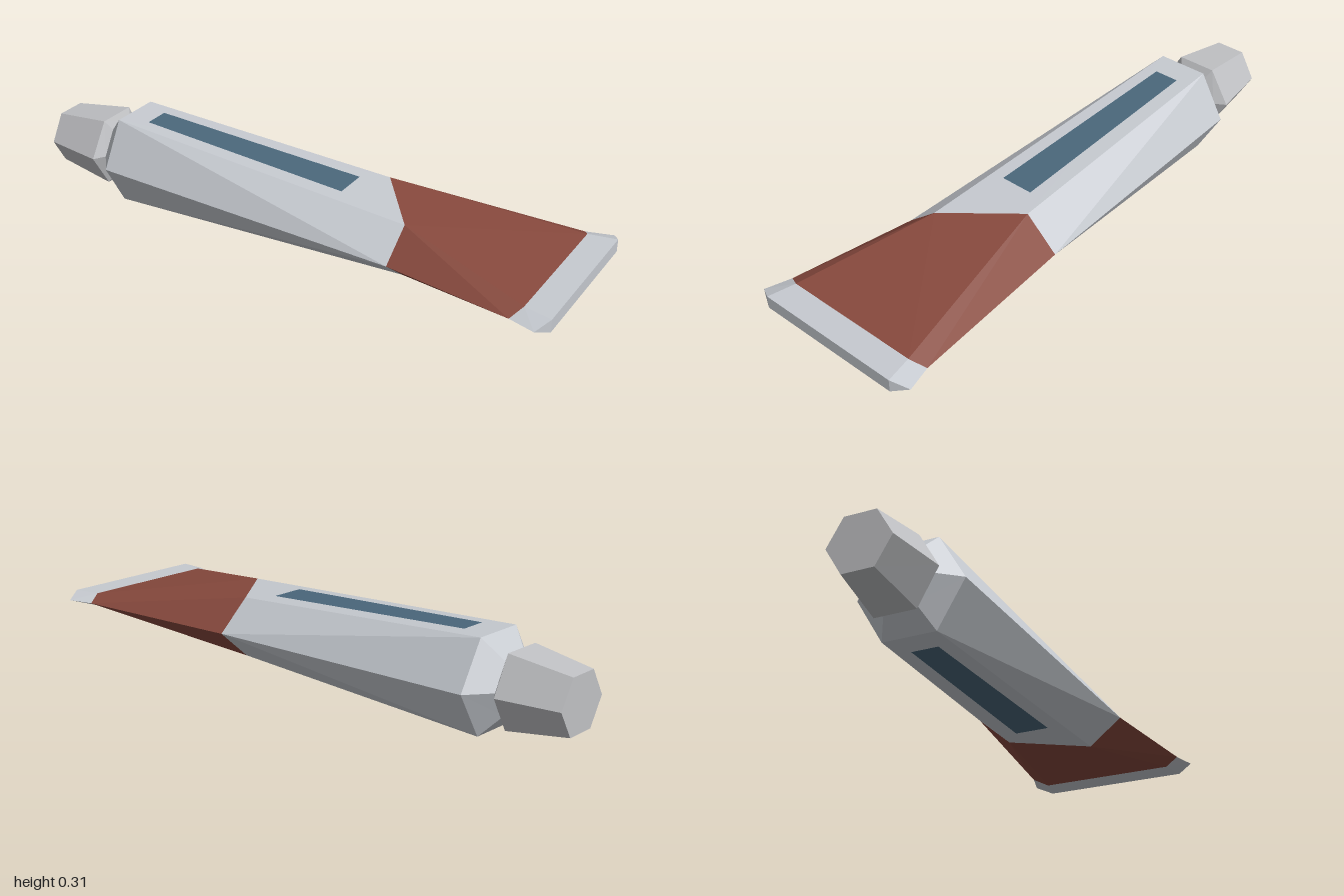
import * as THREE from 'three';

const CY = 0.156; // height of the tube's axis

// Hexagonal ring across x. Each half: [xSide, xTop, side z, top z, half height]
function ring(front, back = front) {
  const [fs, ft, fw, fz, fh] = front;
  const [bs, bt, bw, bz, bh] = back;
  return [
    [fs, CY, fw], [ft, CY + fh, fz], [bt, CY + bh, -bz],
    [bs, CY, -bw], [bt, CY - bh, -bz], [ft, CY - fh, fz],
  ];
}

// Flat-shaded skin through a list of rings, with optional closed ends
function loft(name, rings, material, closeStart = false, closeEnd = false) {
  const pos = [];
  const tri = (a, b, c) => pos.push(...a, ...b, ...c);
  for (let k = 0; k < rings.length - 1; k++) {
    const a = rings[k], b = rings[k + 1];
    for (let i = 0; i < 6; i++) {
      const j = (i + 1) % 6;
      if (i % 3 === 0) {
        tri(a[i], b[i], a[j]);
        tri(b[i], b[j], a[j]);
      } else {
        tri(a[i], b[i], b[j]);
        tri(a[i], b[j], a[j]);
      }
    }
  }
  const ends = [[1, 0, 5], [4, 3, 2], [2, 1, 5], [2, 5, 4]];
  const first = rings[0], last = rings[rings.length - 1];
  for (const [i, j, k] of ends) {
    if (closeStart) tri(first[k], first[j], first[i]);
    if (closeEnd) tri(last[i], last[j], last[k]);
  }
  return meshFrom(name, pos, material);
}

function meshFrom(name, pos, material) {
  const geo = new THREE.BufferGeometry();
  geo.setAttribute('position', new THREE.Float32BufferAttribute(pos, 3));
  geo.computeVertexNormals();
  const mesh = new THREE.Mesh(geo, material);
  mesh.name = name;
  return mesh;
}

// Thin tapered panel lying on the upper (side = 1) or lower (side = -1) face
function panel(name, side, material) {
  const y = (h) => CY + side * h;
  const a = [-0.605, y(0.1535), 0.046], b = [0.18, y(0.1105), 0.06];
  const c = [0.18, y(0.1105), -0.058], d = [-0.605, y(0.1535), -0.044];
  const pos = side > 0 ? [a, b, c, a, c, d] : [a, c, b, a, d, c];
  return meshFrom(name, pos.flat(), material);
}

function flat(name, color) {
  const m = new THREE.MeshStandardMaterial({ color });
  m.name = name;
  return m;
}

export function createModel() {
  const group = new THREE.Group();
  group.name = 'squeezeTube';
  const silver = flat('silver', 0xc6cad0);
  const capGrey = flat('capGrey', 0xc0c1c4);
  const red = flat('brickRed', 0x87493d);
  const blue = flat('slateBlue', 0x4a677b);

  // Rings shared between neighbouring parts
  const capEnd = ring([-1, -1, 0.107, 0.053, 0.092]);
  const capRim = ring([-0.79, -0.785, 0.14, 0.07, 0.121]);
  const neck = ring([-0.765, -0.765, 0.1, 0.05, 0.085]);
  const shoulder = ring([-0.7, -0.7, 0.18, 0.09, 0.156]);
  const slant = ring([0.44, 0.44, 0.23, 0.115, 0.091], [0.26, 0.26, 0.235, 0.12, 0.103]);
  const crimpStart = ring([0.88, 0.905, 0.296, 0.246, 0.023]);
  const crimpEnd = ring([0.97, 1, 0.322, 0.266, 0.022]);

  group.add(
    loft('screwCap', [capEnd, capRim, neck], capGrey, true),
    loft('tubeBody', [neck, shoulder, slant], silver),
    loft('colouredBand', [slant, crimpStart], red),
    loft('crimpedEnd', [crimpStart, crimpEnd], silver, false, true),
    panel('upperPanel', 1, blue),
    panel('lowerPanel', -1, blue),
  );
  return group;
}
